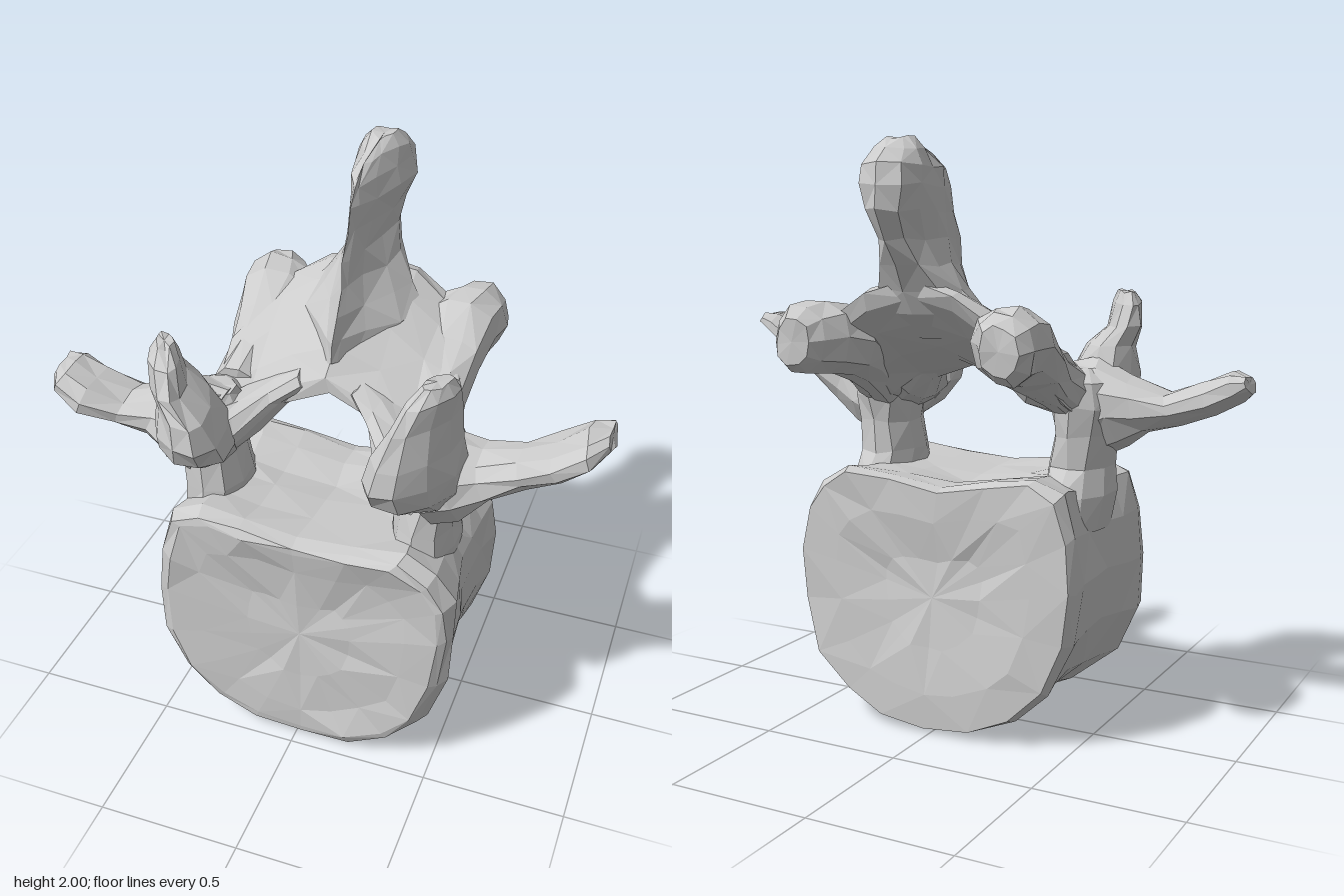
import * as THREE from 'three';

const material = new THREE.MeshStandardMaterial({ color: 0xcccccc, flatShading: true });

// Small seeded noise for a carved, irregular bone surface
let seed = 7;
const noise = (amount) => {
  seed = (seed * 16807) % 2147483647;
  return (seed / 2147483647 - 0.5) * 2 * amount;
};

// Closed skin over a list of rings, capped with fans and turned outward
function skin(name, rings, rough) {
  const n = rings[0].length, pos = [], index = [];
  for (const ring of rings) for (const p of ring) pos.push(p.x + noise(rough), p.y + noise(rough), p.z + noise(rough));
  for (let r = 0; r < rings.length - 1; r++) {
    for (let i = 0; i < n; i++) {
      const a = r * n + i, b = r * n + (i + 1) % n;
      if ((r + i) % 2) index.push(a, b, a + n, b, b + n, a + n);
      else index.push(a, b, b + n, a, b + n, a + n);
    }
  }
  for (const r of [0, rings.length - 1]) {
    const c = rings[r].reduce((s, p) => s.add(p), new THREE.Vector3()).divideScalar(n);
    const k = pos.length / 3;
    pos.push(c.x, c.y, c.z);
    for (let i = 0; i < n; i++) {
      const a = r * n + i, b = r * n + (i + 1) % n;
      if (r === 0) index.push(k, b, a); else index.push(k, a, b);
    }
  }
  // Signed volume tells whether the faces point inward
  let volume = 0;
  const at = (i) => new THREE.Vector3().fromArray(pos, index[i] * 3);
  for (let i = 0; i < index.length; i += 3) volume += at(i).dot(at(i + 1).cross(at(i + 2)));
  if (volume < 0) index.reverse();
  const geometry = new THREE.BufferGeometry();
  geometry.setAttribute('position', new THREE.Float32BufferAttribute(pos, 3));
  geometry.setIndex(index);
  geometry.computeVertexNormals();
  const mesh = new THREE.Mesh(geometry, material);
  mesh.name = name;
  return mesh;
}

// Oval sections: rows of [x, y, z, half size along u, half size along v];
// taper thickens the +u end, side = -1 mirrors in x
function loft(name, rows, u, v, { side = 1, taper = 0, sides = 10 } = {}) {
  const U = new THREE.Vector3(...u).normalize(), V = new THREE.Vector3(...v).normalize();
  const rings = rows.map(([x, y, z, hu, hv]) => Array.from({ length: sides }, (_, i) => {
    const a = (i / sides) * Math.PI * 2, c = Math.cos(a);
    const p = new THREE.Vector3(x, y, z).addScaledVector(U, c * hu)
      .addScaledVector(V, Math.sin(a) * hv * (1 + taper * c));
    p.x *= side;
    return p;
  }));
  return skin(name, rings, 0.007);
}

export function createModel() {
  const model = new THREE.Group();
  model.name = 'vertebra';

  // Drum-shaped body: one outline swept along z with a waist and dished ends
  const outline = [[-0.46, 0.86], [-0.505, 0.72], [-0.525, 0.55], [-0.505, 0.36], [-0.43, 0.19], [-0.31, 0.08],
    [-0.15, 0.02], [0.02, 0.005], [0.2, 0.025], [0.35, 0.09], [0.475, 0.21], [0.535, 0.4], [0.55, 0.6],
    [0.54, 0.74], [0.48, 0.83], [0.37, 0.89], [0.2, 0.88], [0, 0.855], [-0.2, 0.88], [-0.35, 0.9]];
  const bodyRows = [[0.43, 0.35, 0.35], [0.442, 0.7, 0.7], [0.455, 0.91, 0.92], [0.44, 0.97, 0.975], [0.39, 1, 1],
    [0.28, 0.97, 0.98], [0.15, 0.93, 0.96], [0.02, 0.92, 0.95], [-0.1, 0.95, 0.98], [-0.19, 0.99, 1],
    [-0.235, 0.95, 0.96], [-0.235, 0.7, 0.7], [-0.22, 0.35, 0.35]];
  model.add(skin('body', bodyRows.map(([z, sx, sy]) => outline.map(([x, y]) => new THREE.Vector3(
    0.01 + (x - 0.01) * sx,
    0.45 + (y - 0.45) * sy,
    z + (z > 0.1 ? -0.03 : 0.05) * (y - 0.45),
  ))), 0.009));

  // Roof of the canal, sloping up to the rear
  const roof = [[0.4, 1.2, 0, 0.18, 0.08], [0.28, 1.28, -0.11, 0.3, 0.08], [0.16, 1.355, -0.135, 0.3, 0.075]];
  model.add(loft('lamina', [
    ...roof.map(([x, ...rest]) => [-x, ...rest]), [0, 1.41, -0.13, 0.28, 0.09], ...roof.reverse(),
  ], [0, 0.5, -0.86], [0, 0.86, 0.5], { sides: 12 }));

  // Tall spine, flared at its base and thickest along its rear edge
  model.add(loft('spinousProcess', [
    [0, 1.36, -0.08, 0.17, 0.13], [0.005, 1.44, -0.14, 0.22, 0.17], [0.01, 1.52, -0.175, 0.22, 0.125],
    [0.012, 1.6, -0.22, 0.225, 0.08], [0.012, 1.68, -0.255, 0.235, 0.055], [0.015, 1.77, -0.295, 0.25, 0.07],
    [0.02, 1.85, -0.305, 0.24, 0.085], [0.02, 1.91, -0.31, 0.215, 0.08], [0.025, 1.96, -0.335, 0.145, 0.06],
    [0.03, 1.995, -0.36, 0.06, 0.035],
  ], [0, 0, -1], [1, 0, 0], { taper: 0.85, sides: 12 }));

  for (const side of [1, -1]) {
    const label = side > 0 ? 'left' : 'right';
    // Stalk from the body up to the arch
    model.add(loft(label + 'Pedicle', [
      [0.38, 0.7, 0.12, 0.19, 0.1], [0.38, 0.82, 0.145, 0.2, 0.115], [0.375, 0.91, 0.165, 0.155, 0.11],
      [0.39, 1.02, 0.16, 0.145, 0.105], [0.395, 1.12, 0.17, 0.17, 0.125], [0.39, 1.2, 0.17, 0.16, 0.11],
      [0.38, 1.25, 0.17, 0.08, 0.07],
    ], [0, 0, 1], [1, 0, 0], { side }));

    // Inner slope joining the front blade to the roof
    model.add(loft(label + 'ArchRoot', [
      [0.42, 1.15, 0.3, 0.17, 0.09], [0.33, 1.14, 0.24, 0.2, 0.085], [0.25, 1.17, 0.14, 0.17, 0.07],
      [0.17, 1.235, 0.07, 0.11, 0.05], [0.09, 1.285, 0.04, 0.08, 0.035],
    ], [0, 0, 1], [0.5, 0.86, 0], { side }));

    // Upright blade at the front of the arch, its front edge turned inward
    const dx = side > 0 ? 0 : 0.03, dy = side > 0 ? 0 : -0.04;
    model.add(loft(label + 'SuperiorProcess', [
      [0.4, 1, 0.2, 0.06, 0.06], [0.38, 1.08, 0.28, 0.13, 0.11], [0.375, 1.15, 0.33, 0.19, 0.13],
      [0.38, 1.22, 0.355, 0.205, 0.12], [0.395, 1.31, 0.36, 0.19, 0.09], [0.415 + dx, 1.42 + dy, 0.36, 0.16, 0.06],
      [0.43 + dx, 1.5 + dy, 0.35, 0.12, 0.05], [0.435 + dx, 1.54 + dy, 0.335, 0.06, 0.03],
    ], [-0.45, 0, 0.89], [0.89, 0, 0.45], { side }));

    // Rear lobe below the spine: a flat outer face and a web toward the roof
    model.add(loft(label + 'InferiorProcess', [
      [0.36, 1.17, 0.08, 0.11, 0.08], [0.34, 1.23, -0.05, 0.1, 0.09], [0.33, 1.29, -0.17, 0.1, 0.12],
      [0.325, 1.345, -0.29, 0.12, 0.145], [0.35, 1.36, -0.38, 0.125, 0.13], [0.375, 1.355, -0.45, 0.115, 0.1],
      [0.375, 1.35, -0.495, 0.08, 0.065],
    ], [-0.3, 1, 0], [1, 0.3, 0], { side }));

    // Side wing: the left one is raised, the right one lies flatter
    const wing = side > 0 ? [
      [0.38, 1.1, 0.2, 0.17, 0.16], [0.48, 1.12, 0.205, 0.15, 0.15], [0.58, 1.15, 0.2, 0.09, 0.115],
      [0.7, 1.205, 0.2, 0.06, 0.105], [0.81, 1.28, 0.22, 0.06, 0.125], [0.9, 1.345, 0.215, 0.05, 0.12],
      [0.95, 1.365, 0.18, 0.03, 0.075],
    ] : [
      [0.38, 1.1, 0.2, 0.17, 0.16], [0.48, 1.13, 0.2, 0.16, 0.15], [0.58, 1.125, 0.185, 0.1, 0.12],
      [0.7, 1.12, 0.19, 0.06, 0.115], [0.82, 1.165, 0.215, 0.06, 0.125], [0.91, 1.205, 0.205, 0.05, 0.115],
      [0.955, 1.215, 0.17, 0.03, 0.07],
    ];
    model.add(loft(label + 'TransverseProcess', wing, [-0.35, 0.94, 0], [0, 0, 1], { side }));
  }
  return model;
}
